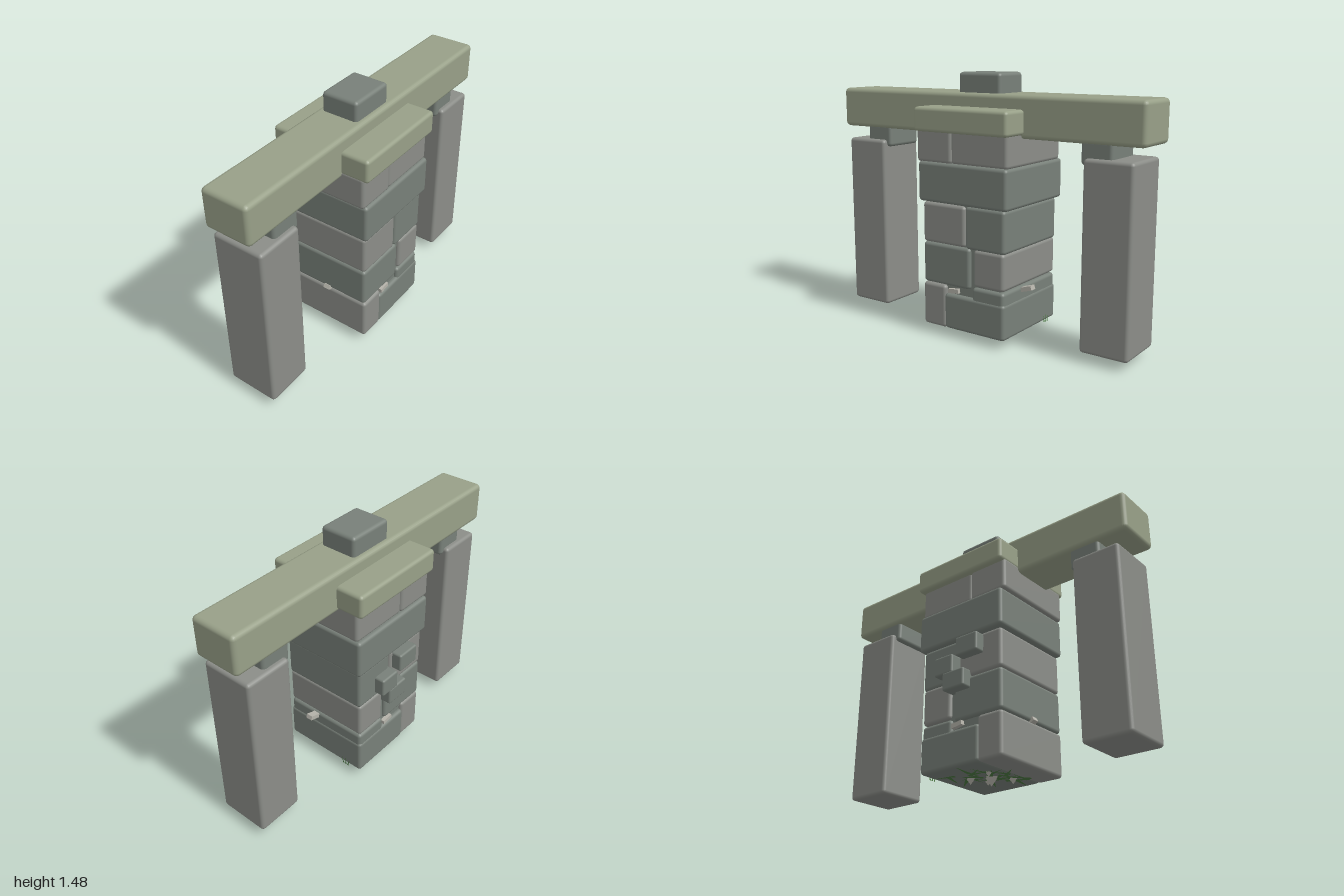
import * as THREE from 'three';
import { RoundedBoxGeometry } from 'three/addons/geometries/RoundedBoxGeometry.js';

const mat = (color, extra = {}) => new THREE.MeshStandardMaterial({ color, ...extra });
const STONE = mat(0x8b8d88);
const DARK = mat(0x788079);
const MOSS = mat(0x98a088);
const CHIP = mat(0xb5b3aa, { flatShading: true });
const GRASS = mat(0x4c7a42, { side: THREE.DoubleSide });

// Bevelled block given by its extents on each axis
function block(parent, name, material, [x0, x1], [y0, y1], [z0, z1], bevel = 0.02) {
  const geo = new RoundedBoxGeometry(x1 - x0, y1 - y0, z1 - z0, 2, bevel);
  const mesh = new THREE.Mesh(geo, material);
  mesh.name = name;
  mesh.position.set((x0 + x1) / 2, (y0 + y1) / 2, (z0 + z1) / 2);
  parent.add(mesh);
  return mesh;
}

function group(parent, name) {
  const g = new THREE.Group();
  g.name = name;
  parent.add(g);
  return g;
}

export function createModel() {
  const model = new THREE.Group();
  model.name = 'stoneGolem';

  // Torso: courses of masonry around a recessed core
  const torso = group(model, 'torso');
  block(torso, 'core', DARK, [-0.26, 0.25], [0.06, 1.2], [-0.23, 0.255], 0.01);
  const courses = [
    ['baseCornerStone', STONE, [-0.28, -0.12], [0.05, 0.3], [-0.25, 0.28]],
    ['baseStone', DARK, [-0.13, 0.275], [0.05, 0.255], [-0.255, 0.28]],
    ['baseRaisedStone', DARK, [0.06, 0.27], [0.2, 0.32], [-0.25, 0.275]],
    ['secondWideStone', DARK, [-0.28, 0.045], [0.3, 0.535], [-0.25, 0.275]],
    ['secondNarrowStone', STONE, [0.07, 0.27], [0.325, 0.535], [-0.25, 0.275]],
    ['thirdWideStone', STONE, [-0.28, 0.012], [0.535, 0.765], [-0.25, 0.275]],
    ['thirdNarrowStone', DARK, [0.015, 0.275], [0.53, 0.77], [-0.25, 0.275]],
    ['chestBand', DARK, [-0.295, 0.3], [0.77, 0.995], [-0.27, 0.295]],
    ['upperNarrowStone', STONE, [-0.31, -0.07], [0.99, 1.18], [-0.255, 0.285]],
    ['upperWideStone', STONE, [-0.075, 0.295], [0.99, 1.18], [-0.25, 0.28]],
    ['shoulderCap', MOSS, [-0.31, 0.31], [1.16, 1.295], [-0.29, 0.31]],
  ];
  for (const c of courses) block(torso, ...c);

  // Lintel across the shoulders with the head stone on top
  block(model, 'lintel', MOSS, [-1, 1], [1.14, 1.37], [-0.13, 0.15], 0.025);
  block(model, 'head', DARK, [-0.14, 0.14], [1.3, 1.48], [-0.1, 0.12]);

  // Hanging arms, mirrored
  for (const [side, s] of [['left', 1], ['right', -1]]) {
    const arm = group(model, side + 'Arm');
    const span = (a, b) => (s > 0 ? [a, b] : [-b, -a]);
    block(arm, side + 'Joint', DARK, span(0.64, 0.82), [1.03, 1.16], [-0.11, 0.135]);
    block(arm, side + 'Pillar', STONE, span(0.67, 0.95), [0.05, 1.07], [-0.14, 0.165]);
  }

  // Raised stones on the back
  const back = group(model, 'backStones');
  block(back, 'backStoneLeft', DARK, [0.01, 0.14], [0.56, 0.67], [-0.31, -0.22], 0.012);
  block(back, 'backStoneRight', DARK, [-0.16, -0.01], [0.645, 0.755], [-0.31, -0.22], 0.012);
  block(back, 'backStoneLow', DARK, [-0.07, 0.08], [0.465, 0.57], [-0.31, -0.22], 0.012);

  // Loose chips wedged in the joints: position, tilt, length
  const chips = group(model, 'chips');
  for (const [x, y, z, tilt, len] of [
    [0.3, 0.31, 0.08, 0.3, 0.07], [-0.275, 0.305, 0.02, -0.5, 0.04],
    [-0.07, 0.275, 0.255, 0.1, 0.07], [0.02, 0.28, -0.235, -0.15, 0.07],
  ]) {
    const chip = new THREE.Mesh(new THREE.BoxGeometry(len, 0.025, 0.04), CHIP);
    chip.name = 'chip';
    chip.position.set(x, y, z);
    chip.rotation.z = tilt;
    chips.add(chip);
  }

  // Small stone points under the base: x, z, depth
  const points = group(model, 'underStones');
  for (const [x, z, h] of [
    [0, 0.015, 0.055], [-0.08, 0.1, 0.038], [0.1, -0.04, 0.04], [-0.05, -0.07, 0.03], [0.06, 0.06, 0.03],
  ]) {
    const cone = new THREE.Mesh(new THREE.ConeGeometry(h * 0.85, h, 4), CHIP);
    cone.name = 'underStone';
    cone.rotation.x = Math.PI;
    cone.position.set(x, 0.055 - h / 2, z);
    points.add(cone);
  }

  // Grass blades pressed flat along the underside diagonal
  const bladeShape = new THREE.Shape([
    new THREE.Vector2(-0.014, 0), new THREE.Vector2(0.014, 0), new THREE.Vector2(0, 0.14),
  ]);
  const bladeGeo = new THREE.ShapeGeometry(bladeShape).rotateX(-Math.PI / 2);
  const grass = group(model, 'grass');
  for (let i = 0; i < 26; i++) {
    const t = i / 25 - 0.5;
    const blade = new THREE.Mesh(bladeGeo, GRASS);
    blade.name = 'grassBlade';
    blade.position.set(t * 0.26 + 0.05 * Math.sin(i * 2.3), 0.047, -t * 0.24 + 0.05 * Math.cos(i * 3.1));
    blade.rotation.y = i * 2.4;
    grass.add(blade);
  }
  // Tuft climbing the side of the base
  for (const k of [-1, 0, 1]) {
    const tuft = new THREE.Mesh(bladeGeo, GRASS);
    tuft.name = 'grassTuft';
    tuft.scale.setScalar(0.35);
    tuft.position.set(0.279, 0.045, -0.15 + k * 0.015);
    tuft.rotation.set(Math.PI / 2 + k * 0.3, 0, Math.PI / 2, 'YXZ');
    grass.add(tuft);
  }

  return model;
}
